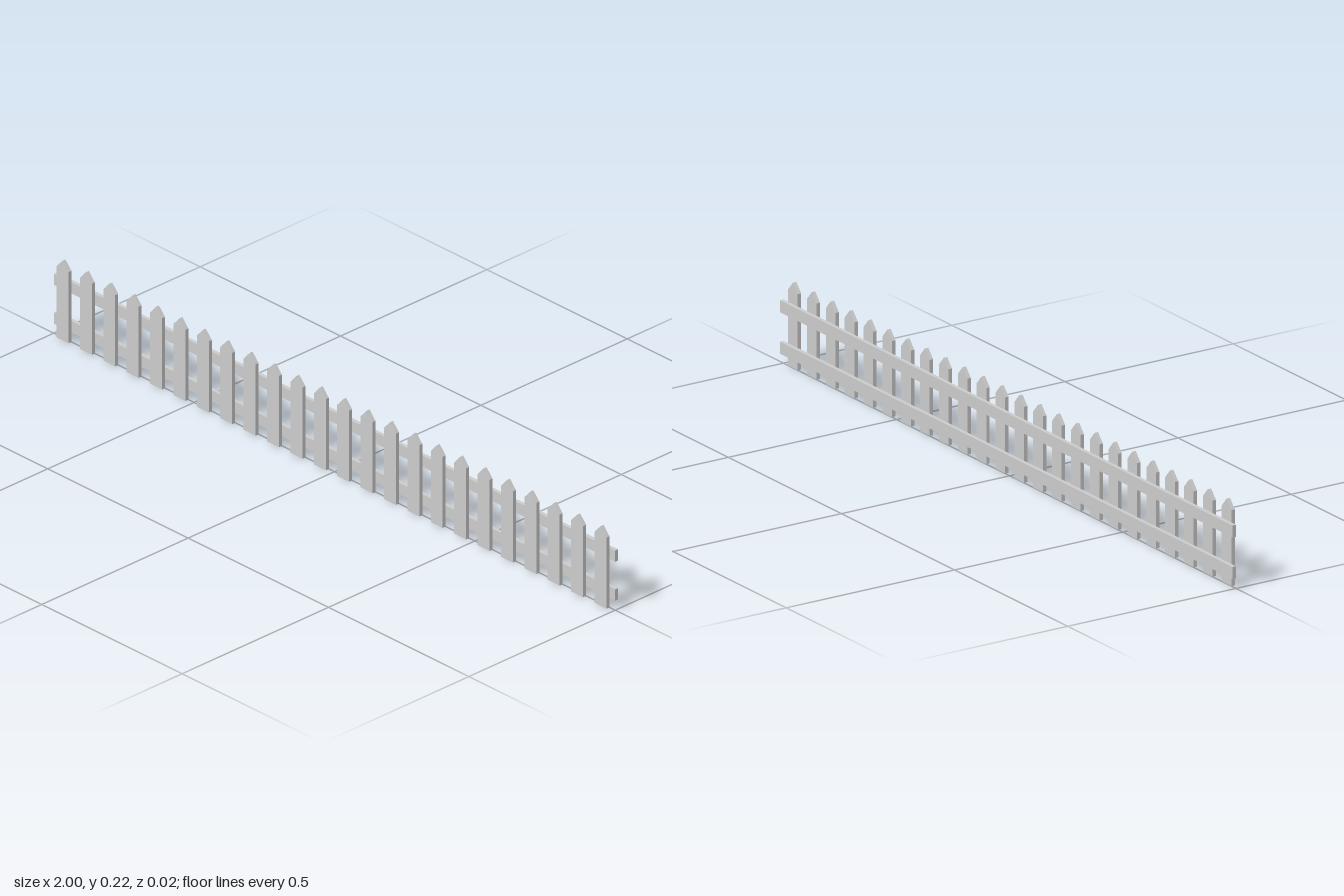
import * as THREE from 'three';

const COUNT = 24;            // pickets along the fence
const PITCH = 2 / COUNT;     // spacing between picket centres
const THICK = 0.0103;        // board thickness

export function createModel() {
  const fence = new THREE.Group();
  fence.name = 'picketFence';
  const material = new THREE.MeshStandardMaterial({ color: 0xcccccc, flatShading: true });

  // Pointed picket board, standing in front of the rails
  const half = 0.0213, shoulder = 0.199, tip = 0.223;
  const outline = new THREE.Shape([
    new THREE.Vector2(-half, 0),
    new THREE.Vector2(half, 0),
    new THREE.Vector2(half, shoulder),
    new THREE.Vector2(0, tip),
    new THREE.Vector2(-half, shoulder),
  ]);
  const picketGeometry = new THREE.ExtrudeGeometry(outline, { depth: THICK, bevelEnabled: false });
  for (let i = 0; i < COUNT; i++) {
    const picket = new THREE.Mesh(picketGeometry, material);
    picket.name = `picket${i + 1}`;
    picket.position.x = -1 + PITCH * (i + 0.5);
    fence.add(picket);
  }

  // Two long rails behind the pickets
  const railGeometry = new THREE.BoxGeometry(2, 0.0315, THICK);
  for (const [name, y] of [['lowerRail', 0.0425], ['upperRail', 0.151]]) {
    const rail = new THREE.Mesh(railGeometry, material);
    rail.name = name;
    rail.position.set(0, y, -THICK / 2);
    fence.add(rail);
  }

  return fence;
}
